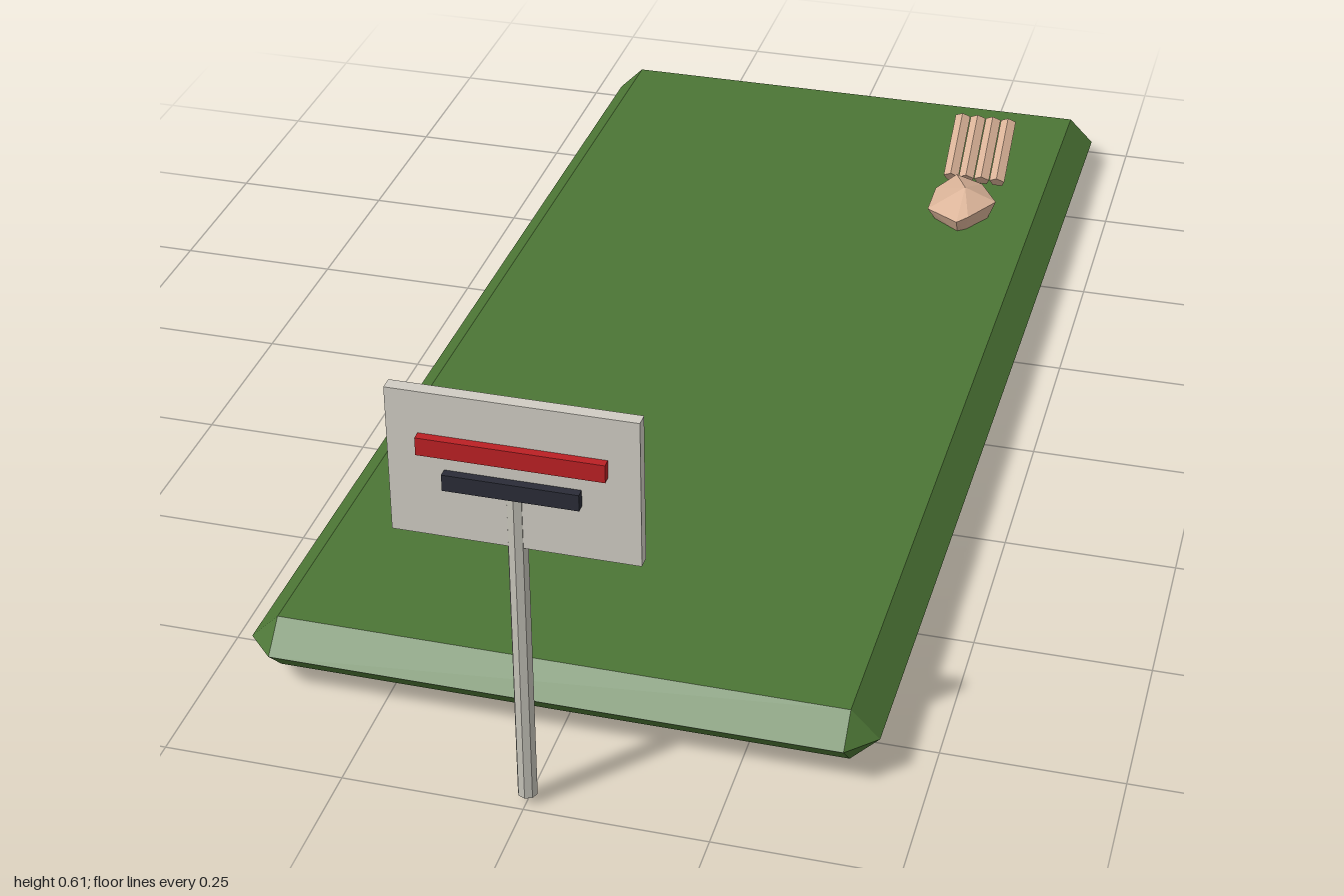
import * as THREE from 'three';
import { ConvexGeometry } from 'three/addons/geometries/ConvexGeometry.js';

const material = (name, color) => {
  const m = new THREE.MeshStandardMaterial({ color, flatShading: true });
  m.name = name;
  return m;
};

export function createModel() {
  const grass = material('grass green', 0x4c7535);
  const boardGrey = material('board grey', 0xd0ccc3);
  const postGrey = material('post grey', 0xc4c2b8);
  const red = material('red', 0xbb2024);
  const navy = material('dark navy', 0x2a2c37);
  const skin = material('skin', 0xd9b297);

  const model = new THREE.Group();
  model.name = 'lawnWithSign';
  const add = (parent, name, geometry, mat, x = 0, y = 0, z = 0) => {
    const mesh = new THREE.Mesh(geometry, mat);
    mesh.name = name;
    mesh.position.set(x, y, z);
    parent.add(mesh);
    return mesh;
  };

  // Lawn: a slab with a single 45 degree bevel all round, lying slightly askew
  const w = 0.4, l = 0.888, b = 0.04;
  const corners = [];
  for (const sx of [-1, 1]) for (const sz of [-1, 1]) {
    for (const sy of [-1, 1]) corners.push(new THREE.Vector3(sx * w, sy * b, sz * l));
    corners.push(new THREE.Vector3(sx * (w + b), 0, sz * l));
    corners.push(new THREE.Vector3(sx * w, 0, sz * (l + b)));
  }
  const lawn = add(model, 'lawn', new ConvexGeometry(corners), grass, -0.003, 0.054, -0.072);
  lawn.rotation.set(-0.011, -0.005, 0.003);

  // Sign: post running through the board, with two raised stripes
  const sign = new THREE.Group();
  sign.name = 'sign';
  sign.position.z = 0.979;
  model.add(sign);
  add(sign, 'post', new THREE.CylinderGeometry(0.0135, 0.0135, 0.475, 8), postGrey, 0, 0.2525, 0);
  add(sign, 'board', new THREE.BoxGeometry(0.324, 0.208, 0.018), boardGrey, 0, 0.513, 0);
  add(sign, 'redStripe', new THREE.BoxGeometry(0.242, 0.025, 0.012), red, 0, 0.545, 0.015);
  add(sign, 'darkStripe', new THREE.BoxGeometry(0.176, 0.023, 0.012), navy, -0.001, 0.497, 0.015);

  // Hand lying on the lawn: faceted palm
  const hand = new THREE.Group();
  hand.name = 'hand';
  model.add(hand);
  const ring = [[0.225, 0.11, -0.6], [0.255, 0.125, -0.63], [0.3, 0.115, -0.625],
    [0.336, 0.122, -0.555], [0.3, 0.12, -0.495], [0.283, 0.115, -0.482], [0.226, 0.11, -0.525]];
  const palm = [new THREE.Vector3(0.283, 0.143, -0.555)];
  for (const [x, y, z] of ring) {
    palm.push(new THREE.Vector3(x, y, z));
    palm.push(new THREE.Vector3(0.28 + (x - 0.28) * 0.75, 0.086, -0.555 + (z + 0.555) * 0.75));
  }
  add(hand, 'palm', new ConvexGeometry(palm), skin);

  // Four fingers side by side, sloping up and back
  for (let i = 0; i < 4; i++) {
    const finger = add(hand, 'finger', new THREE.CylinderGeometry(0.0135, 0.0135, 0.118, 5),
      skin, 0.241 + i * 0.0265, 0.138, -0.705);
    finger.rotation.x = -0.96;
  }
  return model;
}
